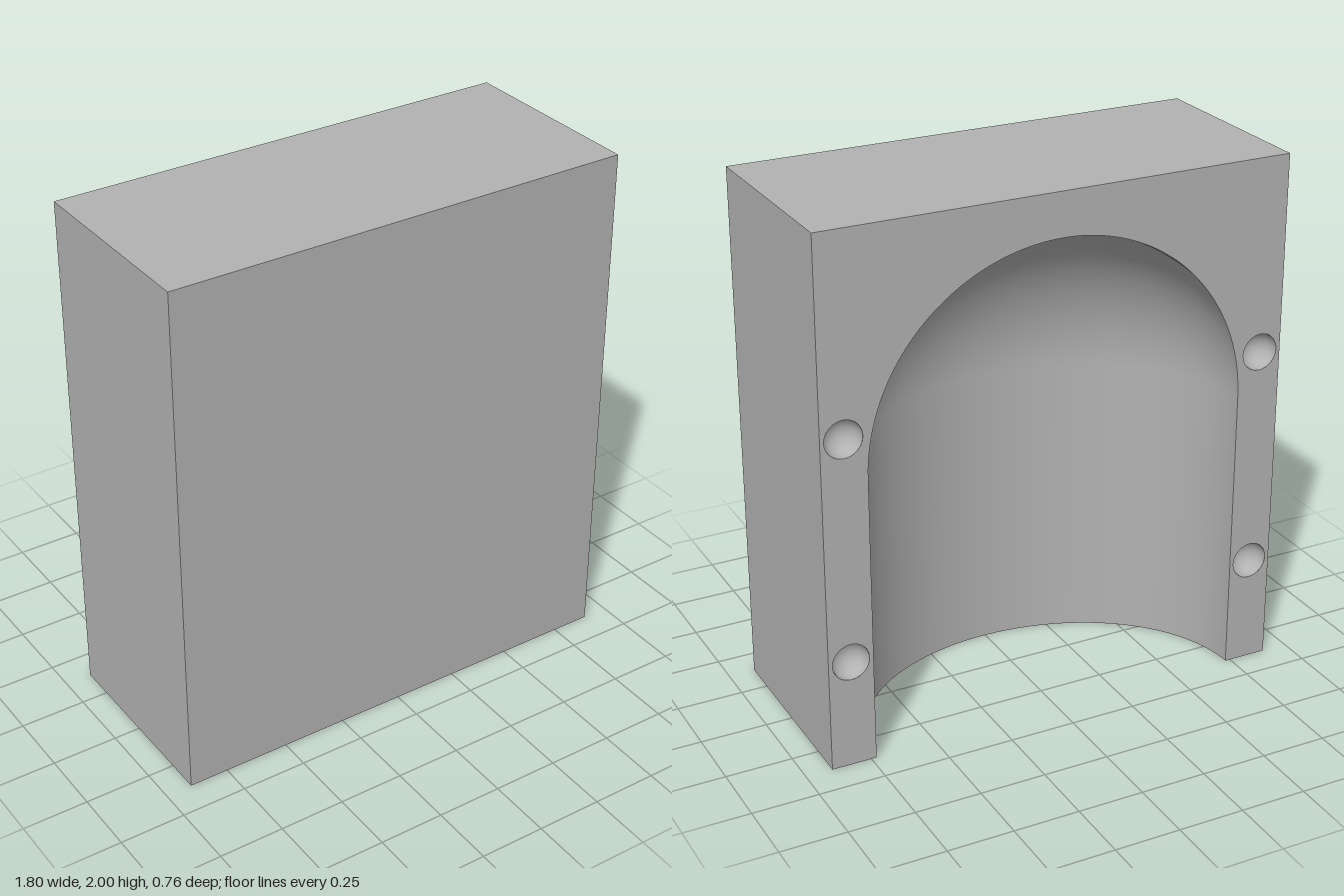
import * as THREE from 'three';

const W = 0.9, H = 2, D = 0.38;            // half width, height, half depth
const R = 0.73, DEPTH = 0.595, SPRING = 1.105; // cavity radius, depth, start of dome
const PEG = { r: 0.07, x: 0.815, ys: [0.415, 1.265] };
const SEG = 64;

export function createModel() {
  const model = new THREE.Group();
  const grey = new THREE.MeshStandardMaterial({ color: 0xb2b2b2 });

  const add = (name, geometry, x = 0, y = 0, z = 0) => {
    const mesh = new THREE.Mesh(geometry, grey);
    mesh.name = name;
    mesh.position.set(x, y, z);
    model.add(mesh);
  };

  // Plain outer walls
  add('frontFace', new THREE.PlaneGeometry(2 * W, H), 0, H / 2, D);
  add('topFace', new THREE.PlaneGeometry(2 * W, 2 * D).rotateX(-Math.PI / 2), 0, H, 0);
  for (const s of [-1, 1]) {
    add(s > 0 ? 'leftFace' : 'rightFace',
      new THREE.PlaneGeometry(2 * D, H).rotateY(s * Math.PI / 2), s * W, H / 2, 0);
  }

  // Parting face with arched opening and four peg holes
  const back = new THREE.Shape();
  back.moveTo(-W, 0);
  back.lineTo(-R, 0);
  back.lineTo(-R, SPRING);
  back.absarc(0, SPRING, R, Math.PI, 0, true);
  back.lineTo(R, 0);
  back.lineTo(W, 0);
  back.lineTo(W, H);
  back.lineTo(-W, H);
  for (const s of [-1, 1]) for (const y of PEG.ys) {
    back.holes.push(new THREE.Path().absarc(s * PEG.x, y, PEG.r, 0, Math.PI * 2, true));
  }
  add('partingFace', new THREE.ShapeGeometry(back, SEG / 2).rotateY(Math.PI), 0, 0, -D);

  // Underside with the curved mouth of the cavity
  const base = new THREE.Shape();
  base.moveTo(-W, -D);
  base.lineTo(-R, -D);
  base.absellipse(0, -D, R, DEPTH, Math.PI, 0, true);
  base.lineTo(W, -D);
  base.lineTo(W, D);
  base.lineTo(-W, D);
  add('underside', new THREE.ShapeGeometry(base, SEG / 2).rotateX(Math.PI / 2));

  // Quarter-circle profile from the pole down, so lathed surfaces face inward
  const dome = (r, y, n) => Array.from({ length: n + 1 }, (_, i) => {
    const a = (i / n) * Math.PI / 2;
    return new THREE.Vector2(r * Math.sin(a), y + r * Math.cos(a));
  });

  // Domed half-cylinder cavity, flattened in depth
  const profile = [...dome(R, SPRING, 32), new THREE.Vector2(R, SPRING / 2), new THREE.Vector2(R, 0)];
  const cavity = new THREE.LatheGeometry(profile, SEG, -Math.PI / 2, Math.PI);
  add('cavity', cavity.scale(1, 1, DEPTH / R), 0, 0, -D);

  // Round peg sockets
  const socket = new THREE.LatheGeometry(dome(PEG.r, 0, 12), 32).rotateX(Math.PI / 2);
  for (const s of [-1, 1]) for (const y of PEG.ys) add('pegSocket', socket, s * PEG.x, y, -D);

  return model;
}
